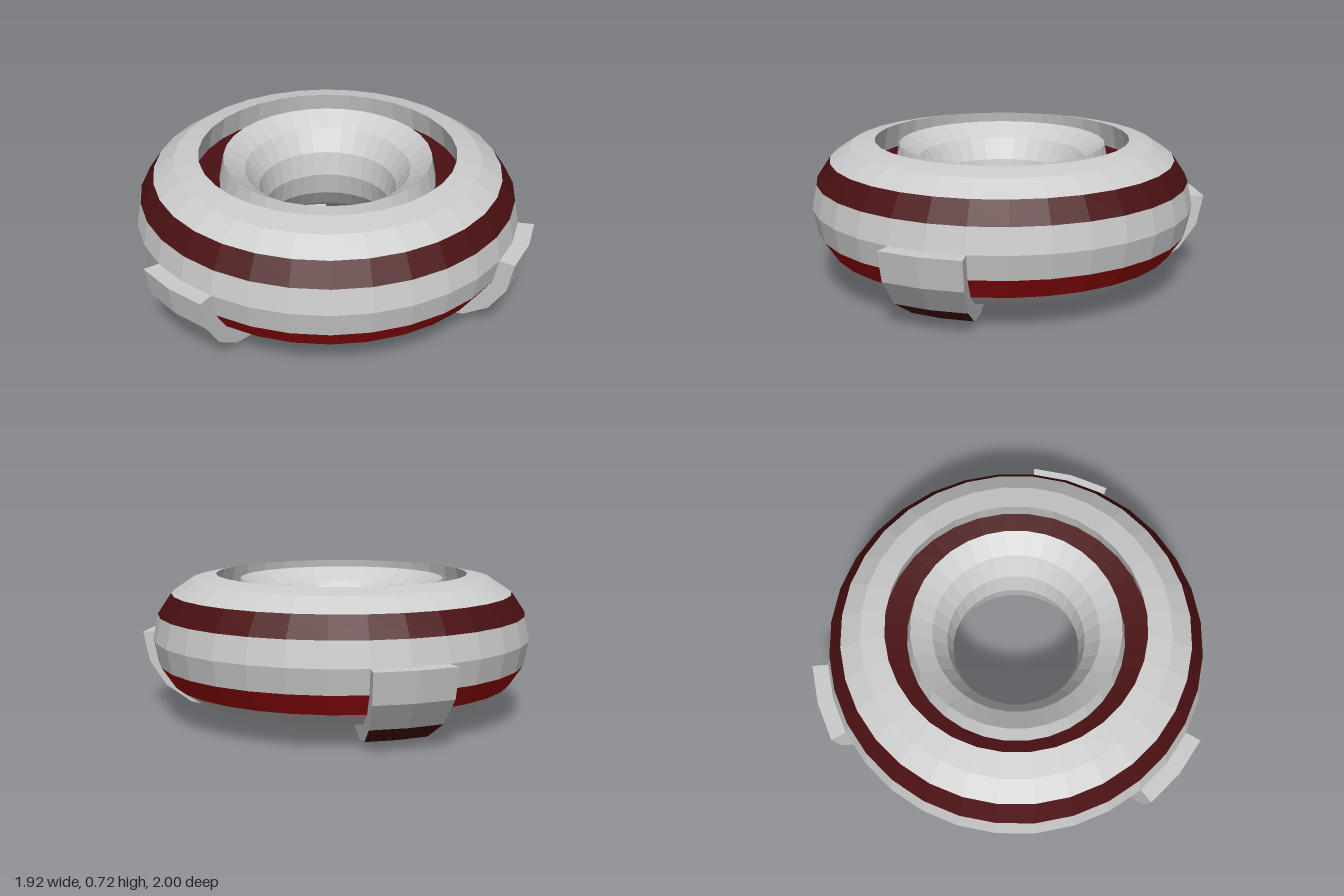
import * as THREE from 'three';

const R = 0.64, TUBE = 0.32, FOOT = 0.40, CY = 0.40;
const SEG = 32, STEP = Math.PI / 8; // 16 sided cross-section

const mat = (color) => new THREE.MeshStandardMaterial({ color, flatShading: true, side: THREE.DoubleSide });

// Point k of the 16 sided cross-section, counted from the outer equator
const ringPoint = (k, r) => new THREE.Vector2(R + r * Math.cos(k * STEP), CY + r * Math.sin(k * STEP));

// Cross-section points from step a to step b
function arc(a, b, r = TUBE) {
  const pts = [];
  for (let k = a; k <= b; k++) pts.push(ringPoint(k, r));
  return pts;
}

export function createModel() {
  const grey = mat(0xcccccc), darkRed = mat(0x4a1012), red = mat(0xa80c0c);
  const model = new THREE.Group();
  const body = new THREE.Group();
  body.name = 'ringBody';
  model.add(body);

  function lathe(parent, name, pts, material, segments = SEG, start = 0, length = Math.PI * 2) {
    const mesh = new THREE.Mesh(new THREE.LatheGeometry(pts, segments, start, length), material);
    mesh.name = name;
    parent.add(mesh);
  }

  // Ring shell with painted bands
  lathe(body, 'middleShell', arc(-1, 1), grey);
  lathe(body, 'upperBand', arc(1, 2), darkRed);
  lathe(body, 'upperShell', arc(2, 4), grey);
  lathe(body, 'innerShell', arc(5, 14), grey);
  lathe(body, 'lowerBand', arc(-2, -1), red);

  // Groove sunk into the inner top face along its normal
  const depth = 0.13, n = 4.5 * STEP;
  const sink = (p) => new THREE.Vector2(p.x - depth * Math.cos(n), p.y - depth * Math.sin(n));
  const outerRim = ringPoint(4, TUBE), innerRim = ringPoint(5, TUBE);
  lathe(body, 'grooveOuterWall', [outerRim, sink(outerRim)], grey);
  lathe(body, 'grooveFloor', [sink(outerRim), sink(innerRim)], darkRed);
  lathe(body, 'grooveInnerWall', [sink(innerRim), innerRim], grey);

  // Three feet hugging the underside, each two ring segments wide
  const half = Math.PI * 2 / SEG;
  const feet = [['backFoot', 180], ['frontLeftFoot', 56.25], ['frontRightFoot', -56.25]];
  const sideShape = new THREE.Shape([...arc(-5, 0, FOOT), ...arc(-5, 0).reverse()]);
  for (const [name, degrees] of feet) {
    const foot = new THREE.Group();
    foot.name = name;
    const phi = THREE.MathUtils.degToRad(degrees), start = phi - half;
    const strip = (part, pts, material) => lathe(foot, part, pts, material, 2, start, half * 2);
    strip('footTip', [ringPoint(-5, TUBE), ringPoint(-5, FOOT)], grey);
    strip('footTipStripe', arc(-5, -4, FOOT), darkRed);
    strip('footSole', arc(-4, -3, FOOT), grey);
    strip('footStripe', arc(-3, -2, FOOT), darkRed);
    strip('footFace', arc(-2, 0, FOOT), grey);
    strip('footTop', [ringPoint(0, FOOT), ringPoint(0, TUBE)], grey);
    for (const s of [-1, 1]) {
      const side = new THREE.Mesh(new THREE.ShapeGeometry(sideShape), grey);
      side.name = 'footSide';
      side.rotation.y = phi + s * half - Math.PI / 2;
      foot.add(side);
    }
    model.add(foot);
  }

  // The back foot reaches further out than the ring, so the ring sits forward
  model.children.forEach((part) => { part.position.z = 0.04; });
  return model;
}
